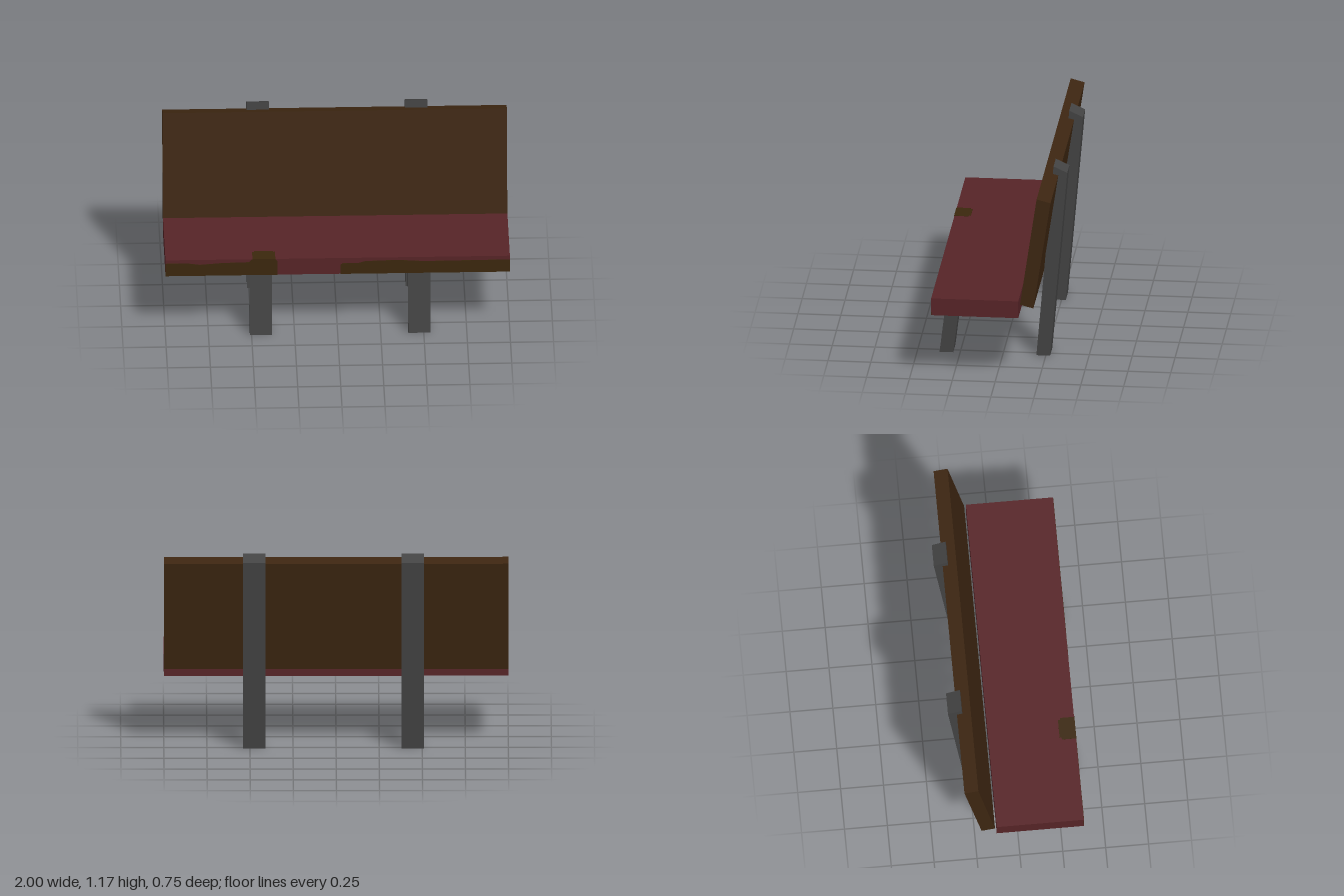
import * as THREE from 'three';

const mat = (name, color) => new THREE.MeshStandardMaterial({ name, color });

// Extrude a side profile of [z, y] points across x, from x0 to x1
function slab(name, profile, x0, x1, material) {
  const shape = new THREE.Shape(profile.map(([z, y]) => new THREE.Vector2(-z, y)));
  const geo = new THREE.ExtrudeGeometry(shape, { depth: x1 - x0, bevelEnabled: false });
  geo.rotateY(Math.PI / 2).translate(x0, 0, 0);
  const mesh = new THREE.Mesh(geo, material);
  mesh.name = name;
  return mesh;
}

// Thin stain on the seat's front edge, from an outline of [x, y] points
function stain(name, outline, material) {
  const shape = new THREE.Shape(outline.map(([x, y]) => new THREE.Vector2(x, y)));
  const geo = new THREE.ExtrudeGeometry(shape, { depth: 0.003, bevelEnabled: false });
  const mesh = new THREE.Mesh(geo.translate(0, 0, 0.372), material);
  mesh.name = name;
  return mesh;
}

export function createModel() {
  const bench = new THREE.Group();
  bench.name = 'bench';
  const red = mat('seatRed', 0x572427);
  const brown = mat('backBrown', 0x3d2611);
  const stainBrown = mat('stainBrown', 0x3b270d);
  const grey = mat('legGrey', 0x434343);

  // Seat and tilted backrest
  bench.add(
    slab('seat', [[0.373, 0.4], [0.373, 0.504], [-0.135, 0.504], [-0.135, 0.4]], -1, 1, red),
    slab('backrest', [[-0.145, 0.484], [-0.242, 1.141], [-0.323, 1.12], [-0.223, 0.464]], -1, 1, brown),
  );

  // Splayed front legs and tall rear posts
  for (const [side, x] of [['right', -0.51], ['left', 0.41]]) {
    bench.add(
      slab(side + 'FrontLeg', [[0.37, 0], [0.322, 0.4], [0.242, 0.4], [0.29, 0]], x, x + 0.13, grey),
      slab(side + 'RearPost', [[-0.195, 0], [-0.295, 1.175], [-0.375, 1.138], [-0.275, 0]], x, x + 0.13, grey),
    );
  }

  // Worn stains along the front edge
  bench.add(
    stain('rightEdgeStain', [[-1, 0.4], [-0.35, 0.4], [-0.35, 0.49], [-0.365, 0.505], [-0.495, 0.505],
      [-0.515, 0.485], [-0.67, 0.482], [-0.8, 0.472], [-0.87, 0.482], [-1, 0.482]], stainBrown),
    stain('leftEdgeStain', [[0.015, 0.4], [1, 0.4], [1, 0.48], [0.5, 0.477], [0.35, 0.487],
      [0.16, 0.482], [0.12, 0.47], [0.03, 0.47], [0.015, 0.46]], stainBrown),
  );

  // Stain wrapping over the seat top
  const top = slab('topStain', [[0.375, 0.503], [0.375, 0.506], [0.29, 0.506], [0.29, 0.503]], -0.495, -0.362, stainBrown);
  const tip = slab('topStainTip', [[0.29, 0.503], [0.29, 0.506], [0.278, 0.506], [0.278, 0.503]], -0.483, -0.374, stainBrown);
  bench.add(top, tip);

  return bench;
}
